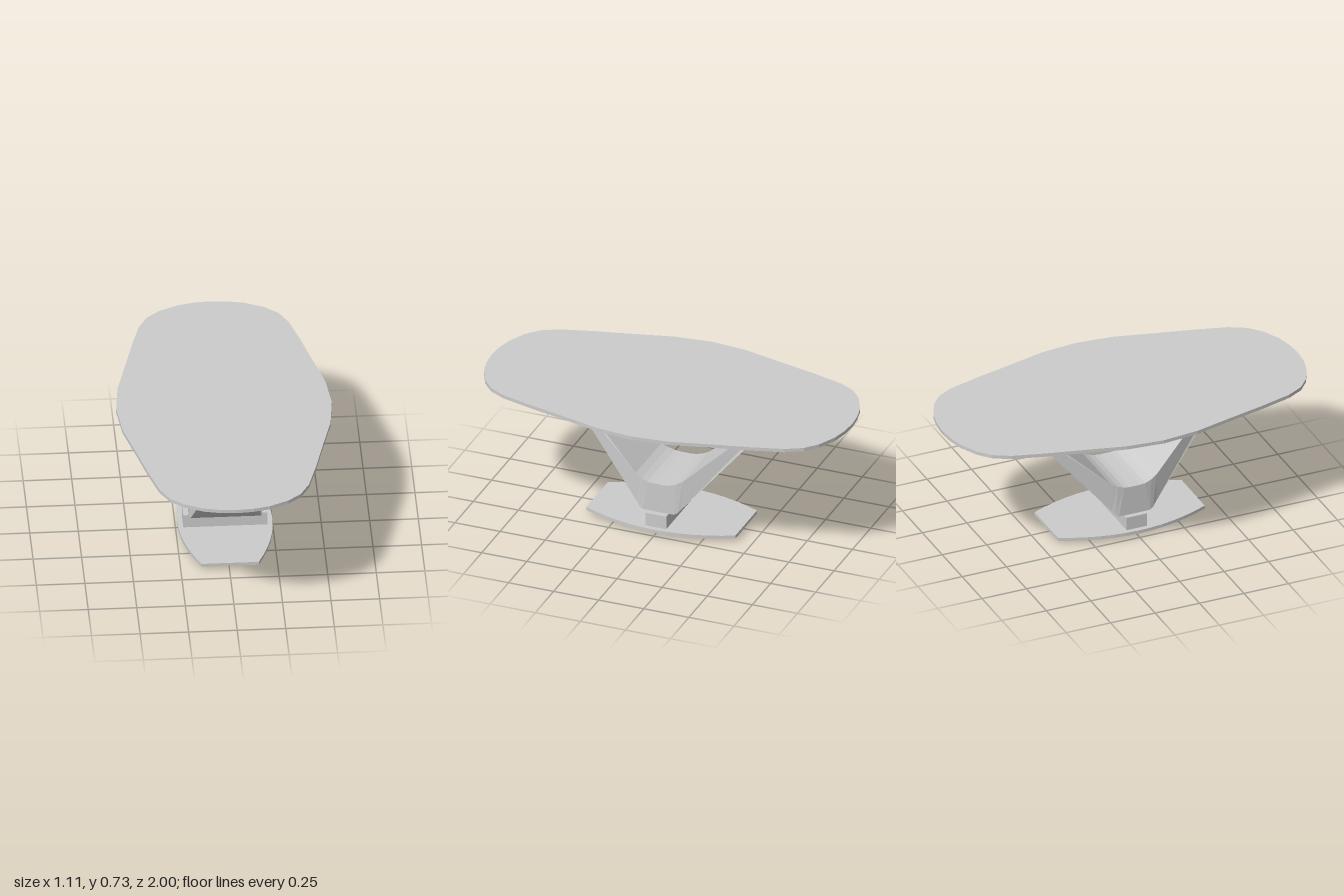
import * as THREE from 'three';

const material = new THREE.MeshStandardMaterial({ color: 0xcccccc });
const flatMaterial = new THREE.MeshStandardMaterial({ color: 0xcccccc, flatShading: true });

function addMesh(parent, name, geometry, x = 0, y = 0, z = 0, mat = material) {
  const mesh = new THREE.Mesh(geometry, mat);
  mesh.name = name;
  mesh.position.set(x, y, z);
  parent.add(mesh);
  return mesh;
}

// Flat slab from an outline in x and z, with its underside at y = 0
function slab(points, thickness) {
  const geometry = new THREE.ExtrudeGeometry(new THREE.Shape(points), { depth: thickness, bevelEnabled: false });
  return geometry.rotateX(-Math.PI / 2);
}

// Rounded boat-shaped outline, mirrored from one quarter
function topOutline() {
  const quarter = [
    [0.555, 0], [0.535, 0.2], [0.484, 0.4], [0.433, 0.61], [0.385, 0.78],
    [0.337, 0.868], [0.27, 0.926], [0.17, 0.974], [0.085, 0.993], [0, 1],
  ];
  const half = [...quarter, ...quarter.slice(0, -1).reverse().map(([x, z]) => [-x, z])];
  const loop = [...half, ...half.slice(1, -1).reverse().map(([x, z]) => [x, -z])];
  return loop.map(([x, z]) => new THREE.Vector2(x, z));
}

// Straight ends and bowed long sides
function plateOutline() {
  const points = [];
  const steps = 12;
  for (const side of [1, -1]) {
    for (let i = 0; i <= steps; i++) {
      const t = (i / steps) * 2 - 1;
      points.push(new THREE.Vector2(side * (0.147 + 0.098 * (1 - t * t)), side * t * 0.413));
    }
  }
  return points;
}

// V-shaped support lofted through four-cornered cross-sections
function supportGeometry() {
  // half width, outer z, outer y, inner z, inner y
  const half = [
    [0.05, 0.605, 0.707, 0.575, 0.707],
    [0.175, 0.125, 0.145, 0.13, 0.305],
    [0.183, 0.105, 0.122, 0.095, 0.286],
    [0.187, 0.088, 0.111, 0.06, 0.274],
    [0.187, 0.03, 0.11, 0.03, 0.271],
  ];
  const stations = [...half, ...[...half].reverse().map(([w, oz, oy, iz, iy]) => [w, -oz, oy, -iz, iy])];
  const positions = [];
  const index = [];
  for (const [w, oz, oy, iz, iy] of stations) {
    positions.push(-w, oy, oz, w, oy, oz, w, iy, iz, -w, iy, iz);
  }
  for (let s = 0; s < stations.length - 1; s++) {
    for (let k = 0; k < 4; k++) {
      const a = s * 4 + k;
      const b = s * 4 + ((k + 1) % 4);
      index.push(a, a + 4, b + 4, a, b + 4, b);
    }
  }
  const e = (stations.length - 1) * 4;
  index.push(0, 1, 2, 0, 2, 3, e, e + 2, e + 1, e, e + 3, e + 2);
  const geometry = new THREE.BufferGeometry();
  geometry.setAttribute('position', new THREE.Float32BufferAttribute(positions, 3));
  geometry.setIndex(index);
  const faceted = geometry.toNonIndexed();
  faceted.computeVertexNormals();
  return faceted;
}

export function createModel() {
  const table = new THREE.Group();
  table.name = 'table';

  addMesh(table, 'tableTop', slab(topOutline(), 0.019), 0, 0.713, 0);
  addMesh(table, 'support', supportGeometry(), 0.001, 0, 0, flatMaterial);

  // Mounting pads between the support tips and the top
  for (const side of [1, -1]) {
    addMesh(table, 'mountingPad', new THREE.BoxGeometry(0.12, 0.008, 0.048), 0, 0.709, side * 0.595);
  }

  const base = new THREE.Group();
  base.name = 'base';
  base.position.x = 0.004;
  table.add(base);
  addMesh(base, 'pedestalBlock', new THREE.BoxGeometry(0.434, 0.074, 0.116), 0, 0.073, 0);
  addMesh(base, 'basePlate', slab(plateOutline(), 0.017), 0, 0.02, 0);

  // Six small feet: two per end and one at the middle of each side
  const foot = new THREE.CylinderGeometry(0.009, 0.009, 0.02, 16);
  for (const side of [1, -1]) {
    for (const [x, z] of [[0.116, 0.372], [0.204, -0.005], [0.116, -0.367]]) {
      addMesh(base, 'foot', foot, side * x, 0.01, z);
    }
  }
  return table;
}
